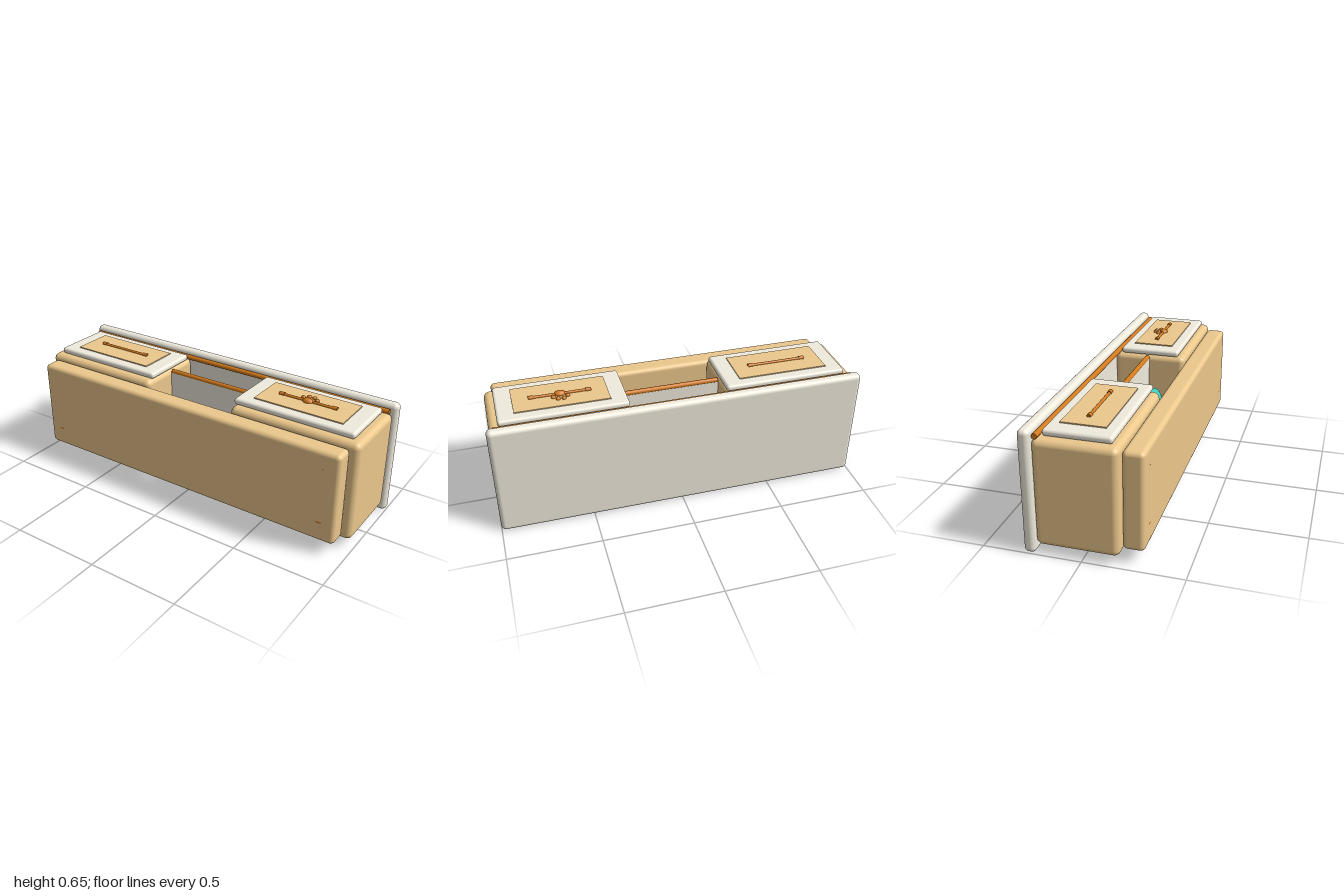
import * as THREE from 'three';
import { RoundedBoxGeometry } from 'three/addons/geometries/RoundedBoxGeometry.js';

const mat = (color) => new THREE.MeshStandardMaterial({ color });

export function createModel() {
  const root = new THREE.Group();
  const wood = mat(0xecc88c), cream = mat(0xf0ebdd), amber = mat(0xd47a1c);
  const lilac = mat(0xb8a2e6), coral = mat(0xe8707a), teal = mat(0x3cc8b8);

  const add = (name, geometry, material, x, y, z, parent = root) => {
    const mesh = new THREE.Mesh(geometry, material);
    mesh.name = name;
    mesh.position.set(x, y, z);
    parent.add(mesh);
    return mesh;
  };
  // Box given by its limits on each axis; radius 0 keeps the edges sharp
  const block = (name, material, [x0, x1], [y0, y1], [z0, z1], r = 0, parent = root) => {
    const size = [x1 - x0, y1 - y0, z1 - z0];
    const geo = r ? new RoundedBoxGeometry(...size, 4, r) : new THREE.BoxGeometry(...size);
    return add(name, geo, material, (x0 + x1) / 2, (y0 + y1) / 2, (z0 + z1) / 2, parent);
  };
  // Round bar along x
  const bar = (name, x0, x1, y, z, r, parent = root) => {
    const mesh = add(name, new THREE.CylinderGeometry(r, r, x1 - x0, 20), amber, (x0 + x1) / 2, y, z, parent);
    mesh.rotation.z = Math.PI / 2;
    return mesh;
  };
  const ball = (name, material, x, y, z, rx, ry, rz, parent = root) => {
    const mesh = add(name, new THREE.SphereGeometry(1, 28, 18), material, x, y, z, parent);
    mesh.scale.set(rx, ry, rz);
    return mesh;
  };

  // Outer slabs
  block('corniceSlab', cream, [-1, 1], [0, 0.638], [-0.291, -0.231], 0.025);
  block('plinthSlab', wood, [-0.947, 0.942], [0.068, 0.573], [0.183, 0.291], 0.024);
  bar('corniceTrim', -0.97, 0.965, 0.603, -0.215, 0.014);

  // Two cupboards with doors and handles
  for (const s of [-1, 1]) {
    const cupboard = new THREE.Group();
    cupboard.name = s < 0 ? 'rightCupboard' : 'leftCupboard';
    cupboard.position.x = s * 0.625 - 0.0025;
    root.add(cupboard);
    block('cupboardBody', wood, [-0.3625, 0.3625], [0.045, 0.595], [-0.231, 0.182], 0.032, cupboard);
    const d = -s * 0.0225;
    block('door', cream, [d - 0.3385, d + 0.3385], [0.595, 0.63], [-0.192, 0.144], 0.015, cupboard);
    block('doorPanel', wood, [d - 0.25, d + 0.25], [0.61, 0.636], [-0.137, 0.088], 0, cupboard);
    bar('handleBar', d - 0.165, d + 0.165, 0.638, -0.028, 0.008, cupboard);
    for (const e of [-1, 1]) bar('handleEnd', d + e * 0.15 - 0.014, d + e * 0.15 + 0.014, 0.639, -0.028, 0.011, cupboard);
    // Paw ornament on one door
    if (s > 0) {
      ball('pawPad', amber, d, 0.636, -0.026, 0.03, 0.019, 0.022, cupboard);
      for (const [x, z] of [[-0.038, -0.053], [-0.015, -0.074], [0.015, -0.074], [0.038, -0.053]])
        ball('pawToe', amber, d + x, 0.638, z, 0.012, 0.011, 0.012, cupboard);
    }
  }

  // Open middle bay: backing, shelf and shelf edge
  block('bayBacking', lilac, [-0.265, 0.26], [0.06, 0.1], [-0.212, 0.158], 0.008);
  block('shelf', cream, [-0.265, 0.26], [0.1, 0.58], [-0.045, -0.025]);
  bar('shelfEdge', -0.262, 0.257, 0.583, -0.036, 0.013);

  // Shelf contents
  [[coral, -0.112], [teal, -0.043], [lilac, 0.03]].forEach(([m, x]) =>
    block('book', m, [x - 0.027, x + 0.027], [0.2, 0.44], [-0.195, -0.05], 0.012));
  ball('cushion', teal, 0.15, 0.33, 0.025, 0.108, 0.1, 0.054);

  // Feet showing slightly through the plinth
  for (const x of [-0.86, 0.855])
    for (const [y, r] of [[0.178, 0.033], [0.48, 0.008]])
      ball('foot', amber, x, y, 0.285, r, r * 0.3, 0.007);

  return root;
}
